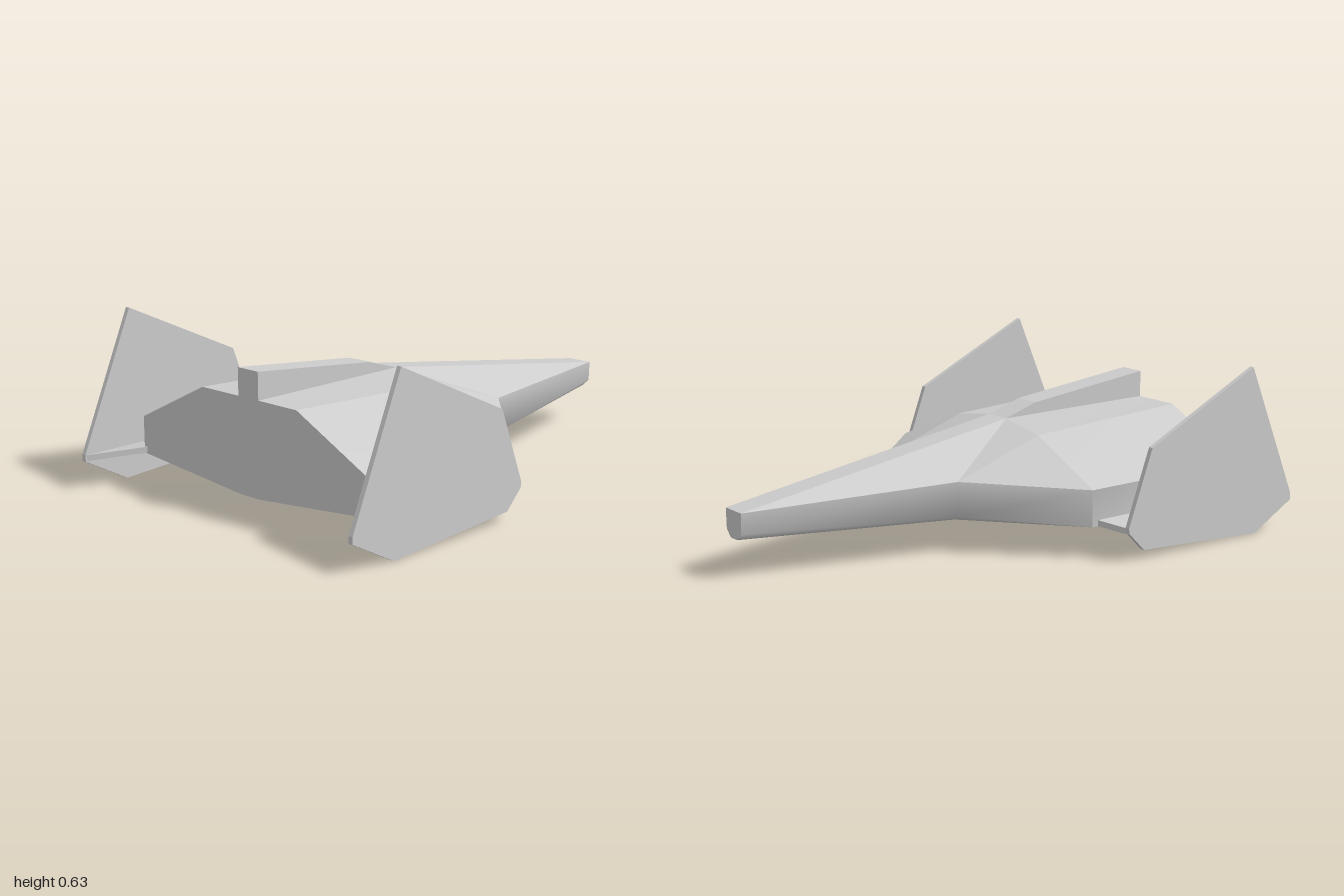
import * as THREE from 'three';
import { toCreasedNormals } from 'three/addons/utils/BufferGeometryUtils.js';

const grey = new THREE.MeshStandardMaterial({ color: 0xcccccc });

// Half sections of the hull, rear to nose: top, shoulder, upper edge, lower edge, keel as [x, y, z].
const sections = [
  [[-0.81, 0.415, 0.05], [-0.81, 0.415, 0.235], [-0.81, 0.25, 0.565], [-0.81, 0.115, 0.565], [-0.81, 0.067, 0.05]],
  [[-0.14, 0.415, 0.05], [-0.14, 0.385, 0.235], [-0.12, 0.25, 0.565], [-0.12, 0.115, 0.565], [-0.12, 0.067, 0.05]],
  [[0.22, 0.36, 0.05], [0.22, 0.265, 0.23], [0.22, 0.265, 0.23], [0.22, 0.135, 0.23], [0.1, 0.067, 0.05]],
  [[1, 0.24, 0.05], [1, 0.24, 0.05], [1, 0.24, 0.05], [1, 0.165, 0.047], [1, 0.14, 0.02]],
];
const mirrorZ = ([x, y, z]) => [x, y, -z];
const rings = sections.map((s) => [...s, ...s.map(mirrorZ).reverse()]);

function meshFromTriangles(name, triangles, crease) {
  const solid = triangles.filter((t) => {
    const [a, b, c] = t.map((p) => new THREE.Vector3(...p));
    return new THREE.Triangle(a, b, c).getArea() > 1e-6;
  });
  const geometry = new THREE.BufferGeometry();
  geometry.setAttribute('position', new THREE.Float32BufferAttribute(solid.flat(2), 3));
  const mesh = new THREE.Mesh(toCreasedNormals(geometry, crease), grey);
  mesh.name = name;
  return mesh;
}

// Skin strips between neighbouring rings, with diagonals mirrored left to right.
function skin(strips) {
  const triangles = [];
  for (let i = 0; i < rings.length - 1; i++) {
    for (const j of strips) {
      const k = (j + 1) % 10;
      const a = rings[i][j], b = rings[i][k], c = rings[i + 1][k], d = rings[i + 1][j];
      if (j < 5) triangles.push([a, b, c], [a, c, d]);
      else triangles.push([a, b, d], [b, c, d]);
    }
  }
  return triangles;
}

function cap(ring, flip) {
  const triangles = [];
  for (let i = 1; i < ring.length - 1; i++) {
    triangles.push(flip ? [ring[0], ring[i + 1], ring[i]] : [ring[0], ring[i], ring[i + 1]]);
  }
  return triangles;
}

// Plate with an outline in x and y, centred on z = 0.
function plate(name, outline, thickness) {
  const shape = new THREE.Shape(outline.map(([x, y]) => new THREE.Vector2(x, y)));
  const geometry = new THREE.ExtrudeGeometry(shape, { depth: thickness, bevelEnabled: false });
  geometry.translate(0, 0, -thickness / 2);
  const mesh = new THREE.Mesh(geometry, grey);
  mesh.name = name;
  return mesh;
}

// Thin strut joining the hull edge to a fin.
function strut(name, side) {
  const outline = [[-0.81, 0.55], [-0.14, 0.55], [-0.19, 0.668], [-1, 0.668]];
  const shape = new THREE.Shape(outline.map(([x, z]) => new THREE.Vector2(x, -z * side)));
  const geometry = new THREE.ExtrudeGeometry(shape, { depth: 0.022, bevelEnabled: false });
  geometry.rotateX(-Math.PI / 2);
  const p = geometry.attributes.position;
  // Droop towards the fin
  for (let i = 0; i < p.count; i++) {
    p.setY(i, p.getY(i) + 0.115 - 0.14 * (Math.abs(p.getZ(i)) - 0.565));
  }
  geometry.computeVertexNormals();
  const mesh = new THREE.Mesh(geometry, grey);
  mesh.name = name;
  return mesh;
}

export function createModel() {
  const model = new THREE.Group();
  model.name = 'spacecraft';

  // Hull: faceted upper skin, smooth lower skin, end caps
  model.add(meshFromTriangles('upperHull', skin([0, 1, 7, 8, 9]), 0.2));
  model.add(meshFromTriangles('lowerHull', skin([2, 3, 4, 5, 6]), 1.35));
  model.add(meshFromTriangles('rearBulkhead', cap(rings[0], true), 0.2));
  model.add(meshFromTriangles('noseTip', cap(rings[3], false), 0.2));

  // Dorsal spine
  model.add(plate('dorsalSpine',
    [[-0.81, 0.4], [-0.14, 0.4], [-0.14, 0.415], [-0.28, 0.458], [-0.81, 0.515]], 0.1));

  // Side fins and their struts
  const finOutline = [[-1, 0.1], [-0.815, 0], [-0.26, 0.035], [-0.19, 0.105], [-0.187, 0.125],
    [-0.29, 0.4], [-0.78, 0.63], [-1, 0.125]];
  for (const side of [1, -1]) {
    const label = side > 0 ? 'front' : 'back';
    const fin = plate(label + 'SideFin', finOutline, 0.018);
    fin.position.z = 0.674 * side;
    model.add(fin, strut(label + 'SideStrut', side));
  }
  return model;
}
